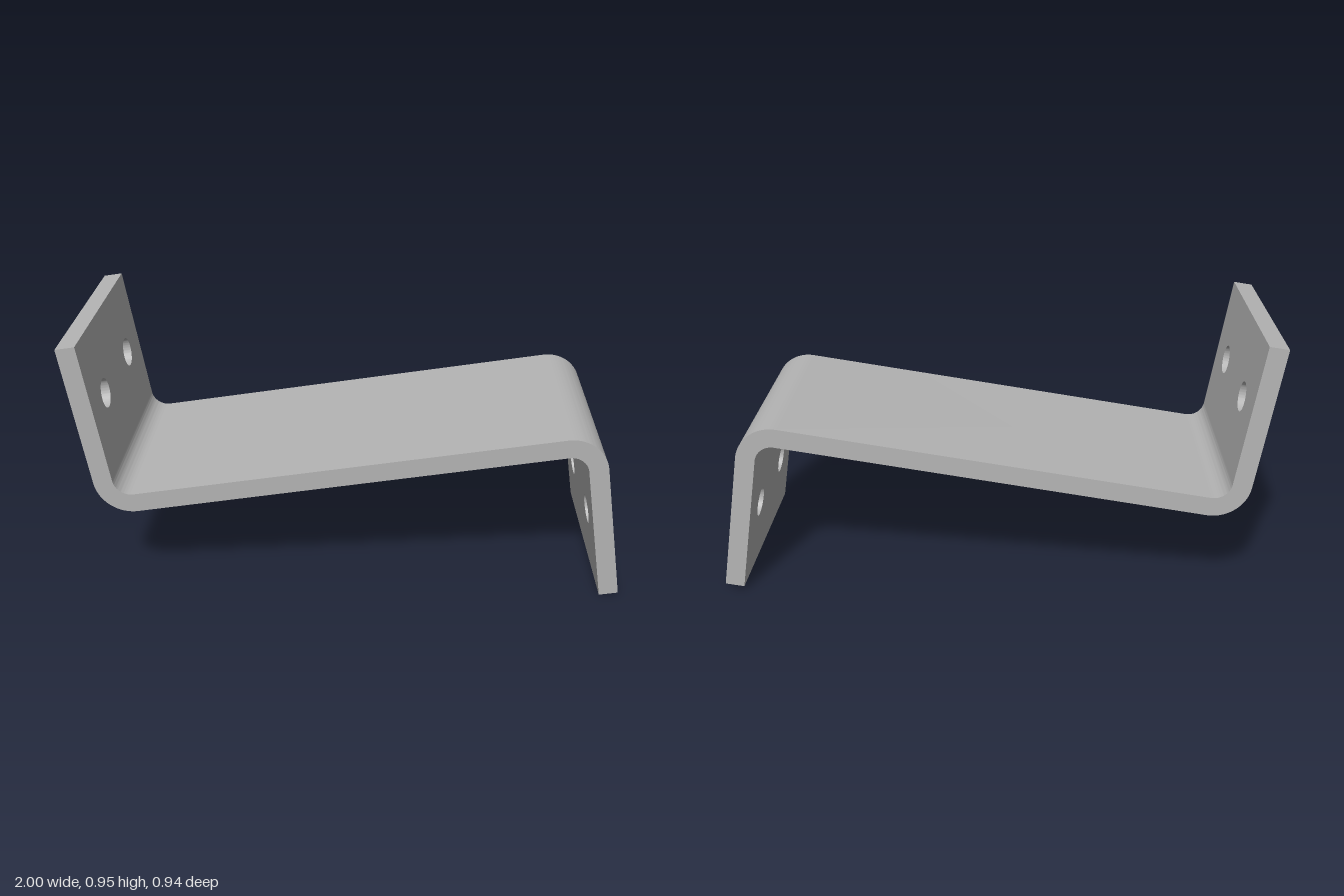
import * as THREE from 'three';
import { toCreasedNormals } from 'three/addons/utils/BufferGeometryUtils.js';

const T = 0.068;        // plate thickness
const H = T / 2;
const A = 0.887;        // centre to outer flange face
const END = 0.605;      // centre to flange tip
const W = 0.746;        // plate width
const R = 0.13;         // outer bend radius
const HOLE = { r: 0.053, y: -0.352, z: 0.187 };

// Sloping web with both quarter bends, drawn side-on and extruded over the width
function webGeometry() {
  const cx = A - R, cy = R - H, r = R - T, q = Math.PI / 2;
  const s = new THREE.Shape();
  s.moveTo(A, -cy);
  s.absarc(cx, -cy, R, 0, q, false);
  s.absarc(-cx, cy, r, -q, -2 * q, true);
  s.lineTo(-A, cy);
  s.absarc(-cx, cy, R, 2 * q, 3 * q, false);
  s.absarc(cx, -cy, r, q, 0, true);
  s.closePath();
  const g = new THREE.ExtrudeGeometry(s, { depth: W, bevelEnabled: false, curveSegments: 20 });
  g.translate(0, 0, -W / 2);
  return toCreasedNormals(g, 0.5);
}

// Flat end flange with two bolt holes
function flangeGeometry() {
  const top = H - R, w = W / 2;
  const s = new THREE.Shape([[-w, -END], [w, -END], [w, top], [-w, top]].map(p => new THREE.Vector2(...p)));
  for (const side of [-1, 1]) {
    s.holes.push(new THREE.Path().absarc(side * HOLE.z, HOLE.y, HOLE.r, 0, Math.PI * 2, true));
  }
  const g = new THREE.ExtrudeGeometry(s, { depth: T, bevelEnabled: false, curveSegments: 32 });
  g.rotateY(Math.PI / 2);
  g.translate(A - T, 0, 0);
  return toCreasedNormals(g, 0.5);
}

export function createModel() {
  const steel = new THREE.MeshStandardMaterial({ color: 0xb4b4b4 });
  steel.name = 'steel grey';

  const bracket = new THREE.Group();
  bracket.name = 'bracket';
  const add = (name, geometry) => {
    const m = new THREE.Mesh(geometry, steel);
    m.name = name;
    bracket.add(m);
    return m;
  };
  add('web', webGeometry());
  const flange = flangeGeometry();
  add('lowerFlange', flange);
  add('upperFlange', flange).rotation.z = Math.PI;

  // Tilt of the whole bracket
  const up = new THREE.Vector3(-0.153, 0.987, 0.0316).normalize();
  const along = new THREE.Vector3().crossVectors(up, new THREE.Vector3(0.0938, -0.0174, 0.995)).normalize();
  const across = new THREE.Vector3().crossVectors(along, up);
  bracket.setRotationFromMatrix(new THREE.Matrix4().makeBasis(along, up, across));
  bracket.position.y = 0.4765;

  const model = new THREE.Group();
  model.name = 'offsetBracket';
  model.add(bracket);
  return model;
}
